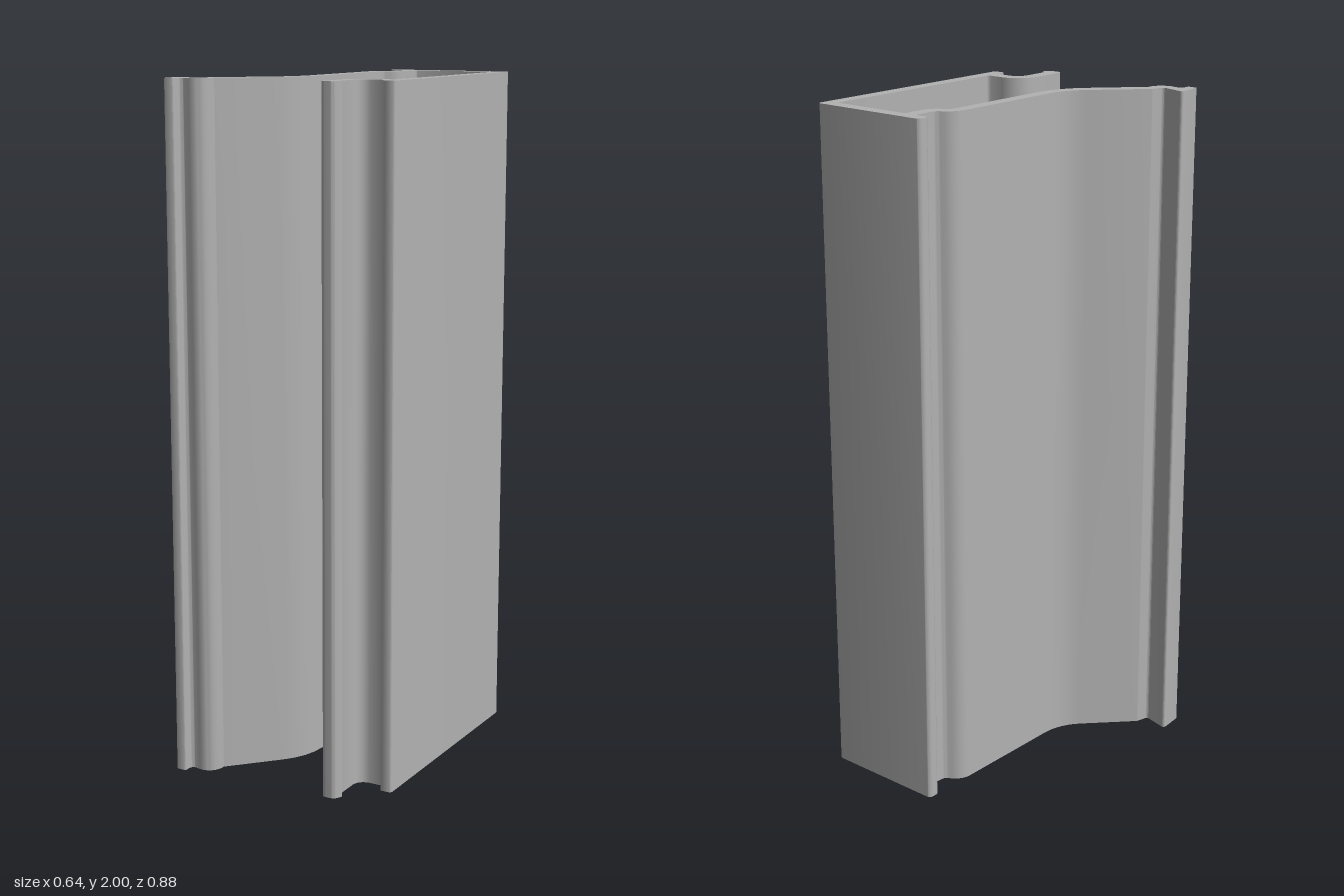
import * as THREE from 'three';
import { toCreasedNormals } from 'three/addons/utils/BufferGeometryUtils.js';

// Closed shape through [x, z, radius] corners, each rounded by a circular arc.
function roundedOutline(corners) {
  const points = [];
  const n = corners.length;
  corners.forEach(([x, z, r], i) => {
    const [px, pz] = corners[(i + n - 1) % n];
    const [nx, nz] = corners[(i + 1) % n];
    const corner = new THREE.Vector2(x, -z);
    if (!r) { points.push(corner); return; }
    const a = new THREE.Vector2(px, -pz).sub(corner).normalize();
    const b = new THREE.Vector2(nx, -nz).sub(corner).normalize();
    const half = Math.acos(THREE.MathUtils.clamp(a.dot(b), -1, 1)) / 2;
    const centre = a.clone().add(b).normalize().multiplyScalar(r / Math.sin(half)).add(corner);
    const start = corner.clone().addScaledVector(a, r / Math.tan(half));
    const turn = (Math.PI - 2 * half) * Math.sign(b.cross(a));
    const steps = Math.max(3, Math.ceil(Math.abs(turn) / 0.2));
    for (let k = 0; k <= steps; k++) {
      points.push(start.clone().rotateAround(centre, turn * k / steps));
    }
  });
  return new THREE.Shape(points);
}

export function createModel() {
  const group = new THREE.Group();
  group.name = 'extrudedChannel';
  const grey = new THREE.MeshStandardMaterial({ color: 0xb2b2b2 });
  grey.name = 'grey';

  const corners = [
    // back wall and straight side wall
    [-0.058, -0.44, 0.012], [0.319, -0.44, 0.012],
    [0.319, 0.29, 0.009], [0.281, 0.29, 0.009],
    // hooked lip with a small bead at its tip
    [0.281, 0.257, 0.009], [0.196, 0.257, 0.035],
    [0.196, 0.369, 0.004], [0.211, 0.38, 0.006], [0.196, 0.406, 0.012],
    [0.156, 0.406, 0.014], [0.156, 0.218, 0.072], [0.281, 0.218, 0.009],
    // inside of the box
    [0.281, -0.401, 0.008], [0.03, -0.401, 0.008],
    // inner face of the stepped wall and its sloping flange
    [0.03, -0.305, 0.056], [-0.02, -0.276, 0.022],
    [-0.02, 0.17, 0.2], [-0.2, 0.36, 0],
    // foot of the flange
    [-0.203, 0.419, 0.042], [-0.283, 0.402, 0.013],
    [-0.283, 0.437, 0.007], [-0.314, 0.437, 0.006],
    [-0.322, 0.355, 0.008], [-0.241, 0.377, 0.009], [-0.231, 0.337, 0.015],
    // outer face of the stepped wall
    [-0.058, 0.157, 0.165], [-0.058, -0.297, 0.056],
    [-0.009, -0.326, 0.022], [-0.009, -0.401, 0.008], [-0.058, -0.401, 0.012],
  ];

  const geometry = new THREE.ExtrudeGeometry(roundedOutline(corners), {
    depth: 2, bevelEnabled: false,
  });
  geometry.rotateX(-Math.PI / 2);

  const profile = new THREE.Mesh(toCreasedNormals(geometry, 0.55), grey);
  profile.name = 'channelProfile';
  group.add(profile);
  return group;
}
